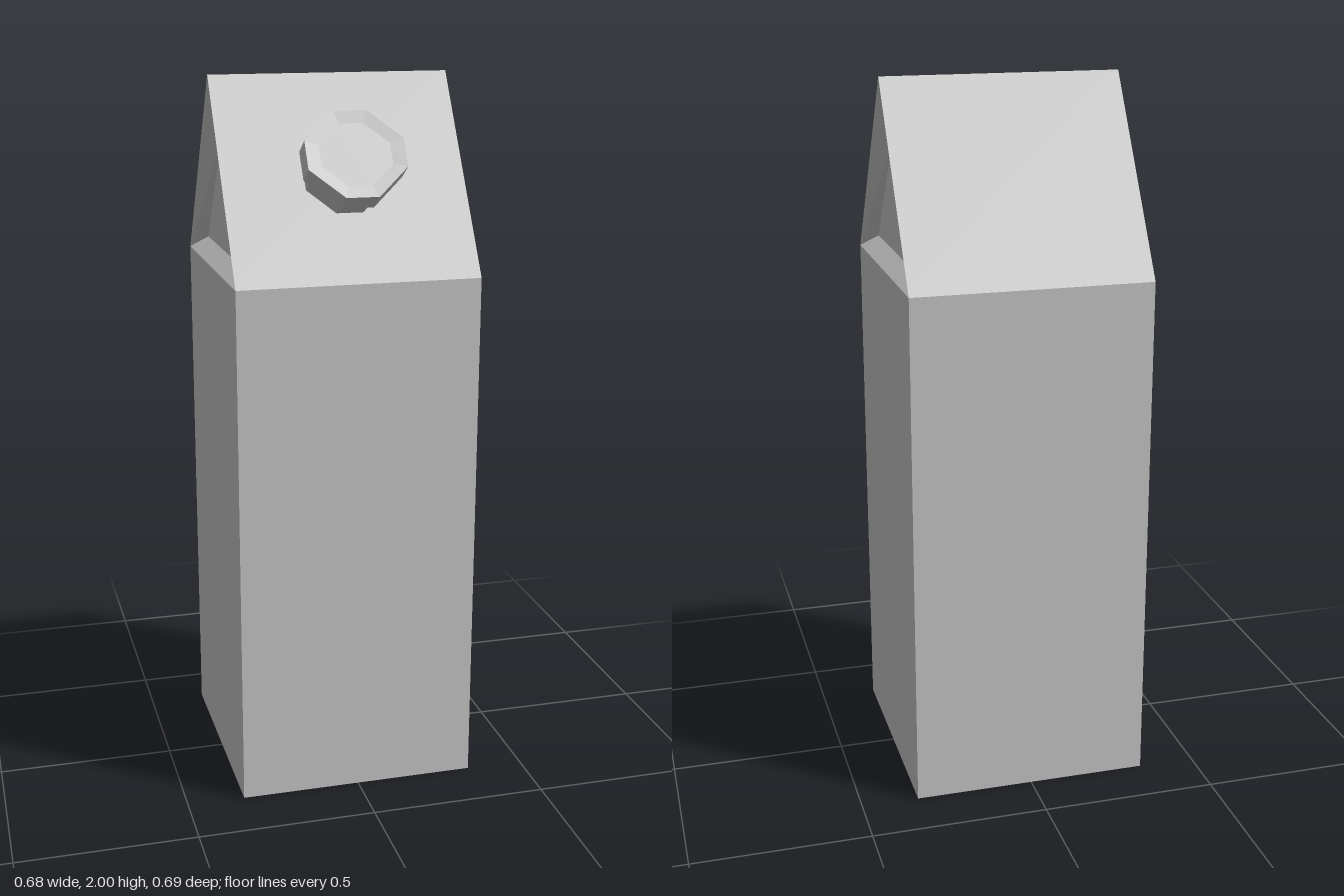
import * as THREE from 'three';

const V = (x, y, z) => new THREE.Vector3(x, y, z);

// Flat-shaded mesh from convex polygons, corners counter-clockwise from outside
function polyMesh(name, polygons) {
  const points = [];
  for (const p of polygons) {
    for (let i = 1; i < p.length - 1; i++) points.push(p[0], p[i], p[i + 1]);
  }
  const geometry = new THREE.BufferGeometry().setFromPoints(points);
  geometry.computeVertexNormals();
  const material = new THREE.MeshStandardMaterial({ color: 0xcccccc, flatShading: true });
  const mesh = new THREE.Mesh(geometry, material);
  mesh.name = name;
  return mesh;
}

// Bands between successive rings, closed by the last ring
function loft(rings) {
  const polygons = [];
  for (let r = 0; r < rings.length - 1; r++) {
    const a = rings[r], b = rings[r + 1], n = a.length;
    for (let i = 0; i < n; i++) {
      const j = (i + 1) % n;
      polygons.push([a[i], a[j], b[j], b[i]]);
    }
  }
  polygons.push(rings[rings.length - 1]);
  return polygons;
}

// Square with cut corners, counter-clockwise about +z
function octagon(w, h, z, s = 1) {
  const a = w / 3, b = h / 3;
  return [[a, -h], [w, -b], [w, b], [a, h], [-a, h], [-w, b], [-w, -b], [-a, -h]]
    .map(([x, y]) => V(x * s, y * s, z));
}

export function createModel() {
  const group = new THREE.Group();
  const carton = new THREE.Group();
  carton.name = 'carton';
  carton.position.z = -0.01;
  group.add(carton);

  const H = 0.338, EAVE = 1.475, TOP = 2;

  // Walls and shallow recessed base, lofted from the eaves down
  const square = (h, y) => [V(-h, y, -h), V(h, y, -h), V(h, y, h), V(-h, y, h)];
  carton.add(polyMesh('body', loft([square(H, EAVE), square(H, 0), square(H - 0.1, 0.025)])));

  // Two sloping roof panels
  const roof = [];
  for (const s of [1, -1]) {
    roof.push([V(-s * H, EAVE, s * H), V(s * H, EAVE, s * H), V(s * H, TOP, 0), V(-s * H, TOP, 0)]);
  }
  carton.add(polyMesh('roof', roof));

  // Folded-in gable ends
  for (const s of [1, -1]) {
    const x = s * H, xi = s * 0.291;
    const apex = V(x, TOP, 0);
    const front = V(x, EAVE, s * H), back = V(x, EAVE, -s * H);
    const lowF = V(xi, 1.51, s * 0.292), lowB = V(xi, 1.51, -s * 0.292);
    const upF = V(xi, 1.8, s * 0.08), upB = V(xi, 1.8, -s * 0.08);
    carton.add(polyMesh(s > 0 ? 'leftGable' : 'rightGable', [
      [front, back, lowB, lowF],
      [lowF, lowB, upB, upF],
      [upF, upB, apex],
      [upF, apex, front, lowF],
      [upB, lowB, back, apex],
    ]));
  }

  // Spout standing square to the front roof panel
  const spout = new THREE.Group();
  spout.name = 'spout';
  spout.position.set(0, 1.736, 0.16);
  spout.rotation.x = -Math.atan2(H, TOP - EAVE);
  spout.add(polyMesh('spoutNeck', loft([octagon(0.112, 0.105, -0.01), octagon(0.112, 0.105, 0.08)])));
  spout.add(polyMesh('spoutCap', loft([
    octagon(0.112, 0.105, 0.075),
    octagon(0.135, 0.125, 0.075),
    octagon(0.135, 0.125, 0.141),
    octagon(0.135, 0.125, 0.136, 0.72),
  ])));
  group.add(spout);

  return group;
}
